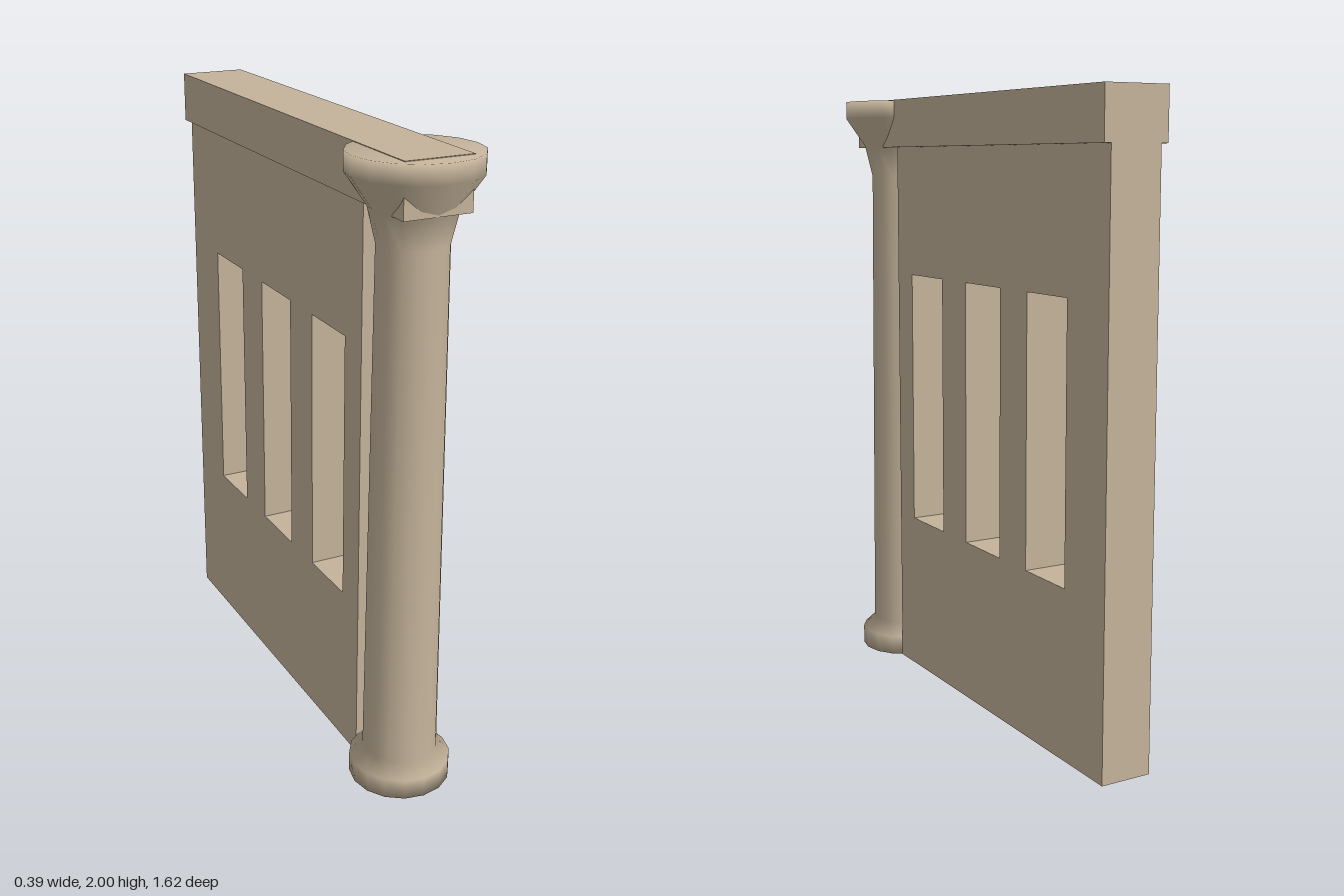
import * as THREE from 'three';

export function createModel() {
  const group = new THREE.Group();
  const stone = new THREE.MeshStandardMaterial({ color: 0xc4b39a });
  stone.name = 'sandstone';

  const add = (name, geometry) => {
    const mesh = new THREE.Mesh(geometry, stone);
    mesh.name = name;
    group.add(mesh);
    return mesh;
  };

  // Column: base, tapering shaft and flared capital as one smooth turned profile
  const profile = [
    [0, 0], [0.16, 0], [0.16, 0.065], [0.118, 0.105],
    [0.105, 1.74], [0.13, 1.845], [0.195, 1.94], [0.195, 1.998], [0, 1.998],
  ].map(([r, y]) => new THREE.Vector2(r, y));
  add('column', new THREE.LatheGeometry(profile, 16)).position.z = 0.62;

  // Wall drawn in side view (shape x runs towards the back), with three openings
  const rect = (Type, x0, x1, y0, y1) => {
    const p = new Type();
    p.moveTo(x0, y0);
    p.lineTo(x1, y0);
    p.lineTo(x1, y1);
    p.lineTo(x0, y1);
    p.closePath();
    return p;
  };
  const wallShape = rect(THREE.Shape, -0.485, 0.81, 0, 1.84);
  for (const x of [-0.38, 0, 0.38]) {
    wallShape.holes.push(rect(THREE.Path, x, x + 0.22, 0.54, 1.405));
  }
  const thickness = 0.168;
  const wall = new THREE.ExtrudeGeometry(wallShape, { depth: thickness, bevelEnabled: false });
  wall.translate(0, 0, -thickness / 2);
  wall.rotateY(Math.PI / 2);
  add('wall', wall);

  // Top beam running from the back of the wall through the capital
  const beam = new THREE.BoxGeometry(0.214, 0.16, 1.56);
  add('beam', beam).position.set(0, 1.92, -0.03);

  return group;
}
